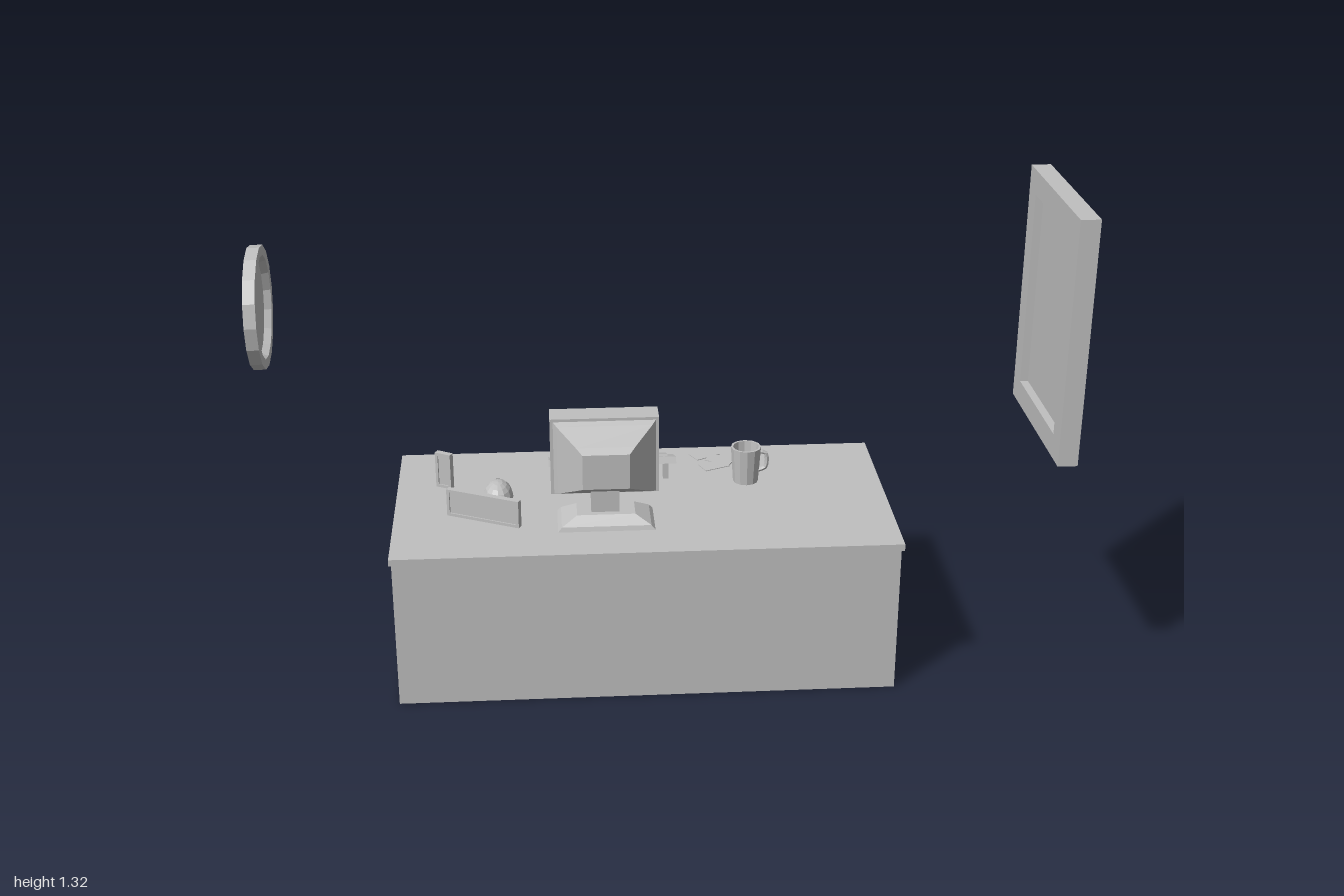
import * as THREE from 'three';

export function createModel() {
  const model = new THREE.Group();
  const grey = new THREE.MeshStandardMaterial({ color: 0xc0c0c0, flatShading: true, side: THREE.DoubleSide });
  grey.name = 'plain grey';

  const group = (name, parent = model) => {
    const g = new THREE.Group();
    g.name = name;
    parent.add(g);
    return g;
  };
  const add = (parent, name, geometry) => {
    const m = new THREE.Mesh(geometry, grey);
    m.name = name;
    parent.add(m);
    return m;
  };
  // Box given by its two extremes on each axis
  const box = (parent, name, [x0, x1], [y0, y1], [z0, z1]) => {
    const m = add(parent, name, new THREE.BoxGeometry(x1 - x0, y1 - y0, z1 - z0));
    m.position.set((x0 + x1) / 2, (y0 + y1) / 2, (z0 + z1) / 2);
    return m;
  };
  // Rectangular ring in the xy plane, centred on z = 0
  const ring = (w, h, border, depth) => {
    const rect = (Type, a, b) => {
      const p = new Type();
      p.moveTo(-a, -b); p.lineTo(a, -b); p.lineTo(a, b); p.lineTo(-a, b); p.closePath();
      return p;
    };
    const shape = rect(THREE.Shape, w / 2, h / 2);
    shape.holes.push(rect(THREE.Path, w / 2 - border, h / 2 - border));
    return new THREE.ExtrudeGeometry(shape, { depth, bevelEnabled: false }).translate(0, 0, -depth / 2);
  };
  // Loft through rectangles [z, x0, x1, y0, y1], capped at both ends
  const loft = (sections) => {
    const pos = [], index = [];
    sections.forEach(([z, x0, x1, y0, y1]) => pos.push(x0, y0, z, x1, y0, z, x1, y1, z, x0, y1, z));
    const last = (sections.length - 1) * 4;
    for (let s = 0; s < last; s += 4) {
      for (let i = 0; i < 4; i++) {
        const a = s + i, b = s + (i + 1) % 4;
        index.push(a, b, b + 4, a, b + 4, a + 4);
      }
    }
    index.push(0, 2, 1, 0, 3, 2, last, last + 1, last + 2, last, last + 2, last + 3);
    const g = new THREE.BufferGeometry();
    g.setAttribute('position', new THREE.Float32BufferAttribute(pos, 3));
    g.setIndex(index);
    const flat = g.toNonIndexed();
    flat.computeVertexNormals();
    return flat;
  };

  // Desk with a cupboard on one side and open shelves on the other
  const desk = group('desk');
  const H = [0, 0.41], D = [-0.36, 0.21];
  box(desk, 'deskTop', [-0.69, 0.61], [0.41, 0.428], [-0.378, 0.247]);
  box(desk, 'frontPanel', [-0.685, 0.605], H, [0.21, 0.23]);
  box(desk, 'shelfSide', [-0.685, -0.66], H, D);
  box(desk, 'shelfDivider', [-0.51, -0.483], H, D);
  box(desk, 'cupboardDivider', [0.23, 0.257], H, D);
  box(desk, 'cupboardSide', [0.58, 0.605], H, D);
  box(desk, 'cupboardFloor', [0.257, 0.58], [0.015, 0.035], D);
  box(desk, 'cupboardDoor', [0.268, 0.59], [0.03, 0.39], [-0.376, -0.36]);
  for (const y of [0.255, 0.08]) box(desk, 'shelf', [-0.66, -0.51], [y, y + 0.025], [-0.335, 0.21]);
  box(desk, 'shelfPlinth', [-0.66, -0.51], [0, 0.08], [-0.325, -0.305]);

  // Monitor, screen towards the back
  const monitor = group('monitor');
  add(monitor, 'bezel', ring(0.28, 0.21, 0.03, 0.068)).position.set(-0.14, 0.6, 0.001);
  box(monitor, 'screen', [-0.25, -0.03], [0.525, 0.675], [0.005, 0.015]);
  add(monitor, 'housing', loft([
    [0.03, -0.275, -0.005, 0.495, 0.7],
    [0.05, -0.262, -0.018, 0.503, 0.69],
    [0.11, -0.215, -0.065, 0.538, 0.657],
    [0.13, -0.2, -0.08, 0.55, 0.645],
  ]));
  box(monitor, 'neck', [-0.178, -0.105], [0.455, 0.56], [0.042, 0.08]);
  const base = add(monitor, 'base', loft([
    [0, -0.125, 0.125, -0.064, 0.064],
    [0.012, -0.115, 0.115, -0.06, 0.06],
    [0.034, -0.075, 0.075, -0.036, 0.036],
  ]));
  base.rotation.x = -Math.PI / 2;
  base.position.set(-0.14, 0.428, 0.06);

  // Tilted keyboard
  const keyboard = group('keyboard');
  const tray = group('keyboardTray', keyboard);
  tray.position.set(-0.1125, 0.466, -0.228);
  tray.rotation.x = -0.38;
  box(tray, 'keyboardBody', [-0.172, 0.172], [-0.011, 0.008], [-0.065, 0.065]);
  box(tray, 'keys', [-0.15, 0.15], [0.008, 0.014], [-0.045, 0.042]);
  for (const x of [-0.265, 0.025]) box(keyboard, 'keyboardFoot', [x, x + 0.015], [0.428, 0.475], [-0.195, -0.18]);

  // Mouse
  const mouse = group('mouse');
  mouse.position.set(-0.42, 0.428, -0.098);
  const shell = add(mouse, 'mouseShell', new THREE.SphereGeometry(1, 12, 5, 0, Math.PI * 2, 0, Math.PI / 2));
  shell.scale.set(0.04, 0.044, 0.062);
  box(mouse, 'mouseWheel', [-0.005, 0.005], [0.03, 0.043], [-0.042, -0.024]);

  // Two standing picture frames
  const picture = (name, w, h, x, z, turn) => {
    const g = group(name);
    g.position.set(x, 0.428 + h / 2, z);
    g.rotation.y = turn;
    add(g, 'pictureBorder', ring(w, h, 0.008, 0.016));
    add(g, 'pictureSheet', new THREE.BoxGeometry(w - 0.014, h - 0.014, 0.009));
  };
  picture('widePicture', 0.206, 0.075, -0.455, 0.042, -0.44);
  picture('tallPicture', 0.046, 0.1, -0.563, -0.168, -0.5);

  // Mug
  const mug = group('mug');
  mug.position.set(0.247, 0.428, -0.157);
  add(mug, 'mugBody', new THREE.LatheGeometry(
    [[0, 0], [0.034, 0], [0.041, 0.1], [0.035, 0.1], [0.029, 0.01], [0, 0.01]].map(([x, y]) => new THREE.Vector2(x, y)), 12));
  add(mug, 'mugHandle', new THREE.TubeGeometry(new THREE.CatmullRomCurve3([
    new THREE.Vector3(0.034, 0.084, 0), new THREE.Vector3(0.053, 0.08, 0),
    new THREE.Vector3(0.053, 0.038, 0), new THREE.Vector3(0.033, 0.03, 0),
  ]), 8, 0.006, 6));

  // Loose notes and a pencil
  [[0.15, -0.325, 0.5], [0.19, -0.285, -0.5], [0.17, -0.245, 0.4]].forEach(([x, z, turn], i) => {
    const note = add(model, 'note', new THREE.BoxGeometry(0.075, 0.002, 0.045));
    note.position.set(x, 0.43 + i * 0.0015, z);
    note.rotation.y = turn;
  });
  const pencil = add(model, 'pencil', new THREE.CylinderGeometry(0.004, 0.004, 0.1, 6));
  pencil.rotation.x = Math.PI / 2;
  pencil.position.set(0.29, 0.432, -0.28);

  // Round wall clock, recessed dial towards +x
  const clock = add(model, 'wallClock', new THREE.LatheGeometry(
    [[0, 0], [0.153, 0], [0.153, 0.03], [0.128, 0.03], [0.122, 0.012], [0, 0.012]].map(([x, y]) => new THREE.Vector2(x, y)), 16));
  clock.rotation.z = -Math.PI / 2;
  clock.position.set(-1, 1.027, 0.037);

  // Wall window with a cross bar
  const windowUnit = group('window');
  const frame = add(windowUnit, 'windowFrame', ring(0.457, 0.622, 0.06, 0.049));
  frame.rotation.y = Math.PI / 2;
  frame.position.set(0.967, 1.007, 0.15);
  box(windowUnit, 'windowPane', [0.963, 0.971], [0.75, 1.26], [-0.025, 0.325]);
  box(windowUnit, 'crossBar', [0.968, 1], [1.03, 1.108], [-0.02, 0.32]);

  return model;
}
